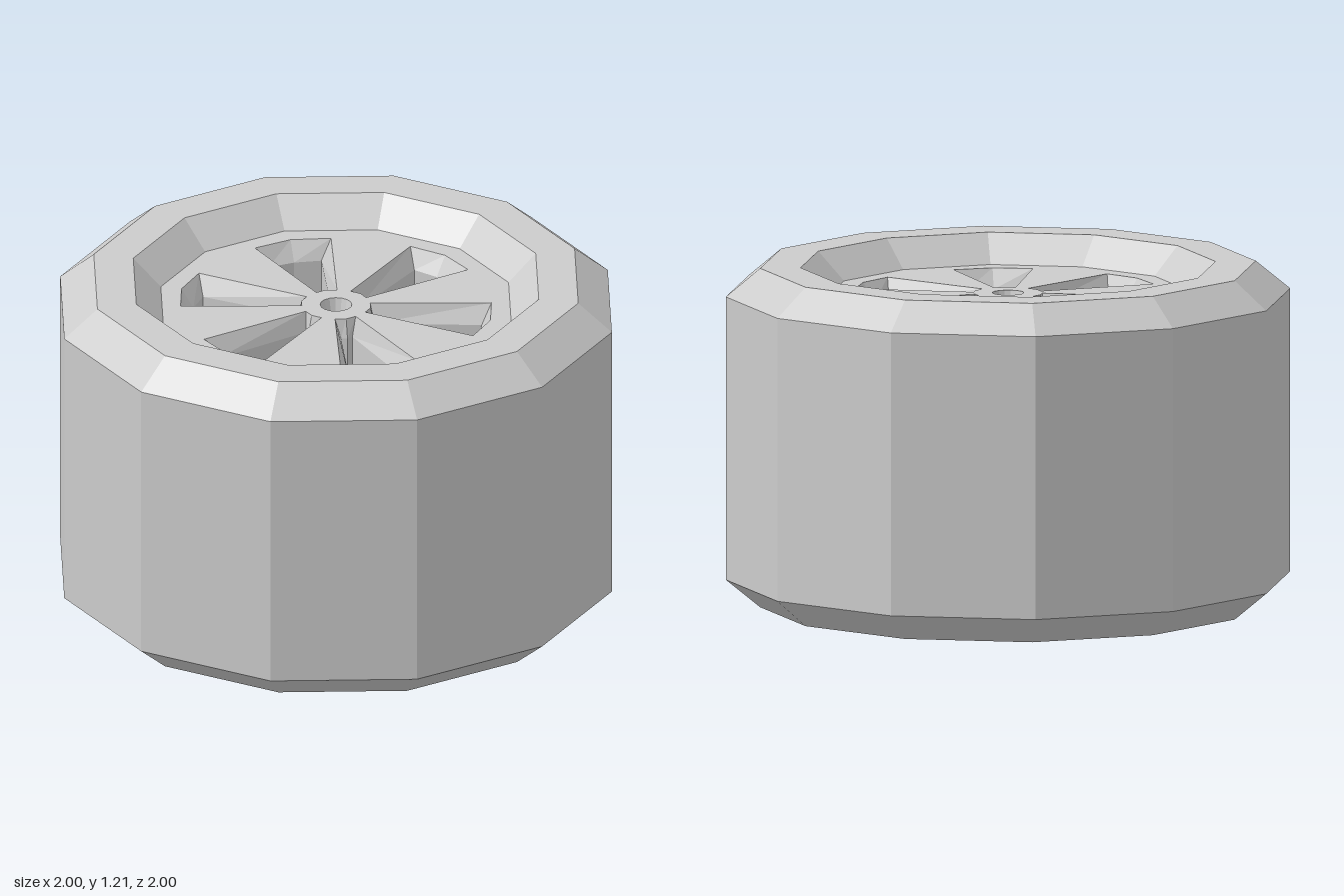
import * as THREE from 'three';

const SIDES = 12, BOTTOM = 0.1, TOP = 1.11, BEVEL = 0.07;
const V = (x, y) => new THREE.Vector2(x, y);

// Regular polygon outline, counter-clockwise
function ring(radius, n) {
  return Array.from({ length: n }, (_, i) => {
    const a = (i / n) * Math.PI * 2;
    return V(radius * Math.cos(a), radius * Math.sin(a));
  });
}

// Wedge-shaped opening between two spokes, mirrored about its own axis
function wedge(half, tip, hub, angle) {
  const left = half.map(([x, y]) => V(-x, y)).reverse();
  const pts = [...half.map(([x, y]) => V(x, y)), V(0, tip), ...left, V(0, hub)];
  return pts.map(p => p.rotateAround(V(0, 0), angle));
}

// Inward-facing wall through a list of [outline, height], top to bottom
function wallGeometry(layers) {
  const pos = [];
  const n = layers[0][0].length;
  for (let k = 0; k < layers.length - 1; k++) {
    const [upper, y1] = layers[k], [lower, y0] = layers[k + 1];
    for (let i = 0; i < n; i++) {
      const j = (i + 1) % n;
      const at = (p, y) => [p.x, y, -p.y];
      const a = at(upper[i], y1), b = at(upper[j], y1);
      const c = at(lower[j], y0), d = at(lower[i], y0);
      pos.push(...a, ...b, ...c, ...a, ...c, ...d);
    }
  }
  const g = new THREE.BufferGeometry();
  g.setAttribute('position', new THREE.Float32BufferAttribute(pos, 3));
  g.computeVertexNormals();
  return g;
}

export function createModel() {
  const model = new THREE.Group();
  model.name = 'wheel';
  const material = new THREE.MeshStandardMaterial({ color: 0xcccccc, flatShading: true });
  const add = (name, geometry, parent = model) => {
    const mesh = new THREE.Mesh(geometry, material);
    mesh.name = name;
    parent.add(mesh);
    return mesh;
  };

  // Tyre: chamfered tread, flat sidewalls and sloping inner lips
  const profile = [
    V(0.635, BOTTOM), V(0.735, 0), V(0.878, 0), V(1, BOTTOM),
    V(1, TOP), V(0.878, 1.21), V(0.735, 1.21), V(0.635, TOP),
  ];
  add('tyre', new THREE.LatheGeometry(profile, SIDES));

  // Rim openings: wide at the faces, narrower past the bevel
  const openings = [];
  for (let i = 0; i < 6; i++) {
    const angle = (i * Math.PI) / 3;
    openings.push({
      name: 'spokeOpening',
      face: wedge([[0.038, 0.115], [0.14, 0.53]], 0.56, 0.125, angle),
      waist: wedge([[0.021, 0.132], [0.097, 0.505]], 0.517, 0.142, angle),
    });
  }
  openings.push({ name: 'axleBore', face: ring(0.056, 16), waist: ring(0.04, 16) });

  // Spoked faces on both sides
  const rim = new THREE.Group();
  rim.name = 'rim';
  model.add(rim);
  const shape = new THREE.Shape(ring(0.635, SIDES));
  for (const o of openings) shape.holes.push(new THREE.Path(o.face));
  add('outerSpokeFace', new THREE.ShapeGeometry(shape).rotateX(-Math.PI / 2).translate(0, TOP, 0), rim);
  add('innerSpokeFace', new THREE.ShapeGeometry(shape).rotateX(Math.PI / 2).translate(0, BOTTOM, 0), rim);

  // Bevelled walls running through the rim
  for (const { name, face, waist } of openings) {
    add(name + 'Wall', wallGeometry([
      [face, TOP], [waist, TOP - BEVEL], [waist, BOTTOM + BEVEL], [face, BOTTOM],
    ]), rim);
  }
  return model;
}
